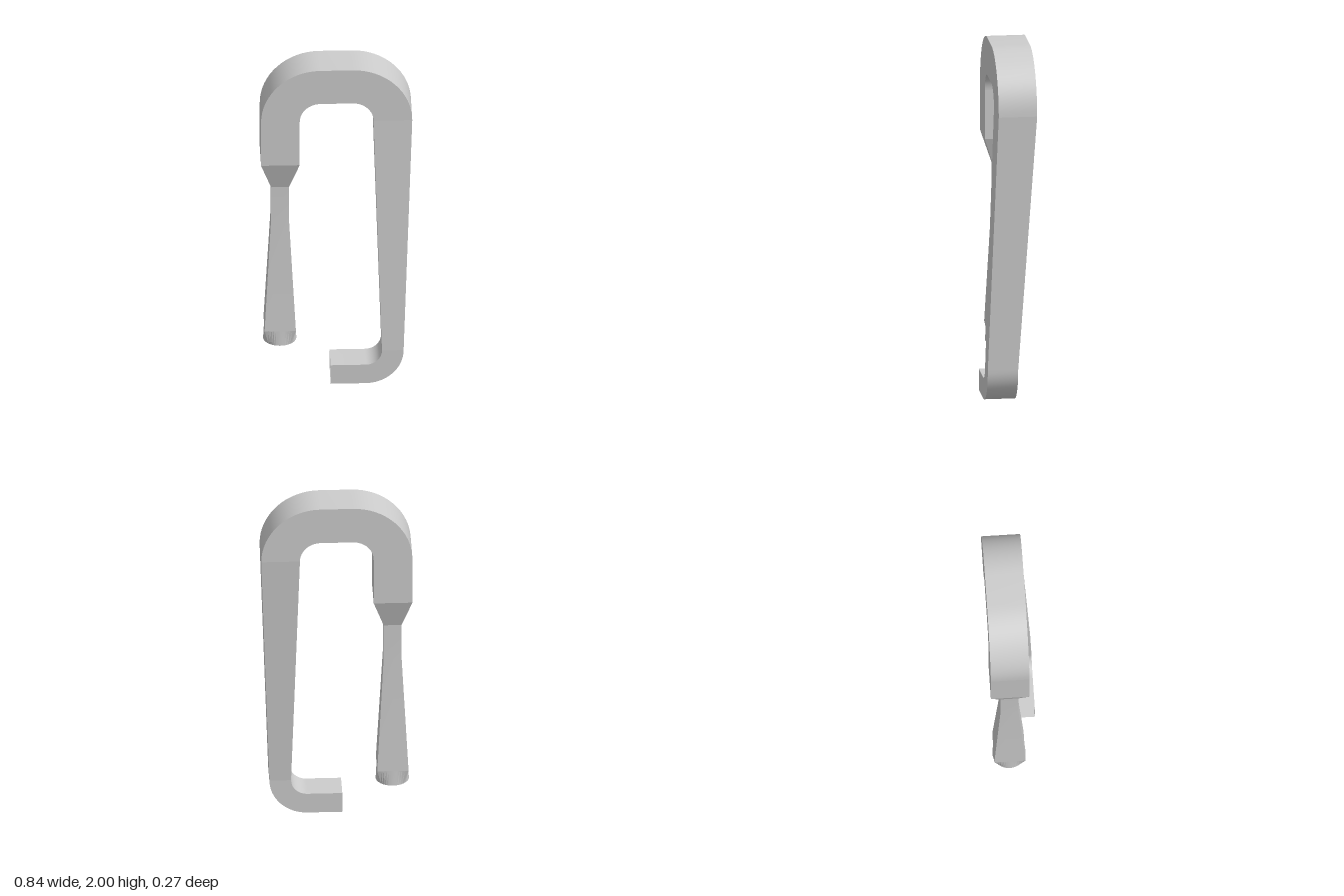
import * as THREE from 'three';
import { toCreasedNormals } from 'three/addons/utils/BufferGeometryUtils.js';

// Skin a list of equal-length closed rings of [x, y, z] points, leaving the ends open
function loft(rings) {
  const n = rings[0].length;
  const index = [];
  for (let i = 0; i < rings.length - 1; i++) {
    for (let j = 0; j < n; j++) {
      const k = (j + 1) % n;
      const a = i * n + j, b = i * n + k;
      index.push(a, b, b + n, a, b + n, a + n);
    }
  }
  const geo = new THREE.BufferGeometry();
  geo.setAttribute('position', new THREE.Float32BufferAttribute(rings.flat(2), 3));
  geo.setIndex(index);
  return toCreasedNormals(geo, 0.2);
}

// Four-cornered section from its outer and inner edge points and front/back depth
const section = (ox, oy, ix, iy, front, back) => [
  [ox, oy, front], [ix, iy, front], [ix, iy, back], [ox, oy, back],
];

// Quarter bend of sections about a centre, turning clockwise from angle a0
function bend(cx, cy, rOut, rIn, a0, front, back) {
  const rings = [];
  for (let i = 0; i <= 16; i++) {
    const a = a0 - (i / 16) * Math.PI / 2;
    const c = Math.cos(a), s = Math.sin(a);
    rings.push(section(cx + rOut * c, cy + rOut * s, cx + rIn * c, cy + rIn * s, front, back));
  }
  return rings;
}

export function createModel() {
  const model = new THREE.Group();
  model.name = 'hookedHandle';
  const grey = new THREE.MeshStandardMaterial({ color: 0xcccccc, side: THREE.DoubleSide });
  grey.name = 'light grey';
  const add = (name, rings) => {
    const mesh = new THREE.Mesh(loft(rings), grey);
    mesh.name = name;
    model.add(mesh);
  };

  const front = 0.08, back = -0.135;         // arch depth
  const hookFront = 0.135, hookBack = -0.035; // hook depth
  const gx = -0.3125, gz = -0.0275;          // grip axis

  // Short leg: square grip with a narrow waist, widening into the arch
  const square = (y, h) => section(gx - h, y, gx + h, y, gz + h, gz - h);
  add('grip', [
    square(0.3, 0.087), square(1.0, 0.05), square(1.215, 0.05),
    square(1.39, 0.1075), square(1.67, 0.1075),
  ]);

  // Grip end: round opening blending up into the square grip
  const ring = (y, radius) => Array.from({ length: 48 }, (_, i) => {
    const a = (i / 48) * Math.PI * 2;
    const r = radius(Math.cos(a), Math.sin(a));
    return [gx + r * Math.cos(a), y, gz - r * Math.sin(a)];
  });
  add('gripEnd', [
    ring(0.21, () => 0.0925),
    ring(0.3, (c, s) => 0.087 / Math.max(Math.abs(c), Math.abs(s))),
  ]);

  // Top arch: two bends joined by a short straight
  add('arch', [
    ...bend(-0.09, 1.67, 0.33, 0.115, Math.PI, front, back),
    ...bend(0.09, 1.67, 0.33, 0.115, Math.PI / 2, front, back),
  ]);

  // Long leg: tapers and leans forward
  add('longLeg', [
    section(0.42, 1.67, 0.205, 1.67, front, back),
    section(0.37, 0.21, 0.25, 0.21, hookFront, hookBack),
  ]);

  // Foot hook: bends inward and ends open
  add('hook', [
    ...bend(0.16, 0.21, 0.21, 0.09, 0, hookFront, hookBack),
    section(-0.035, 0, -0.035, 0.12, hookFront, hookBack),
  ]);

  return model;
}
